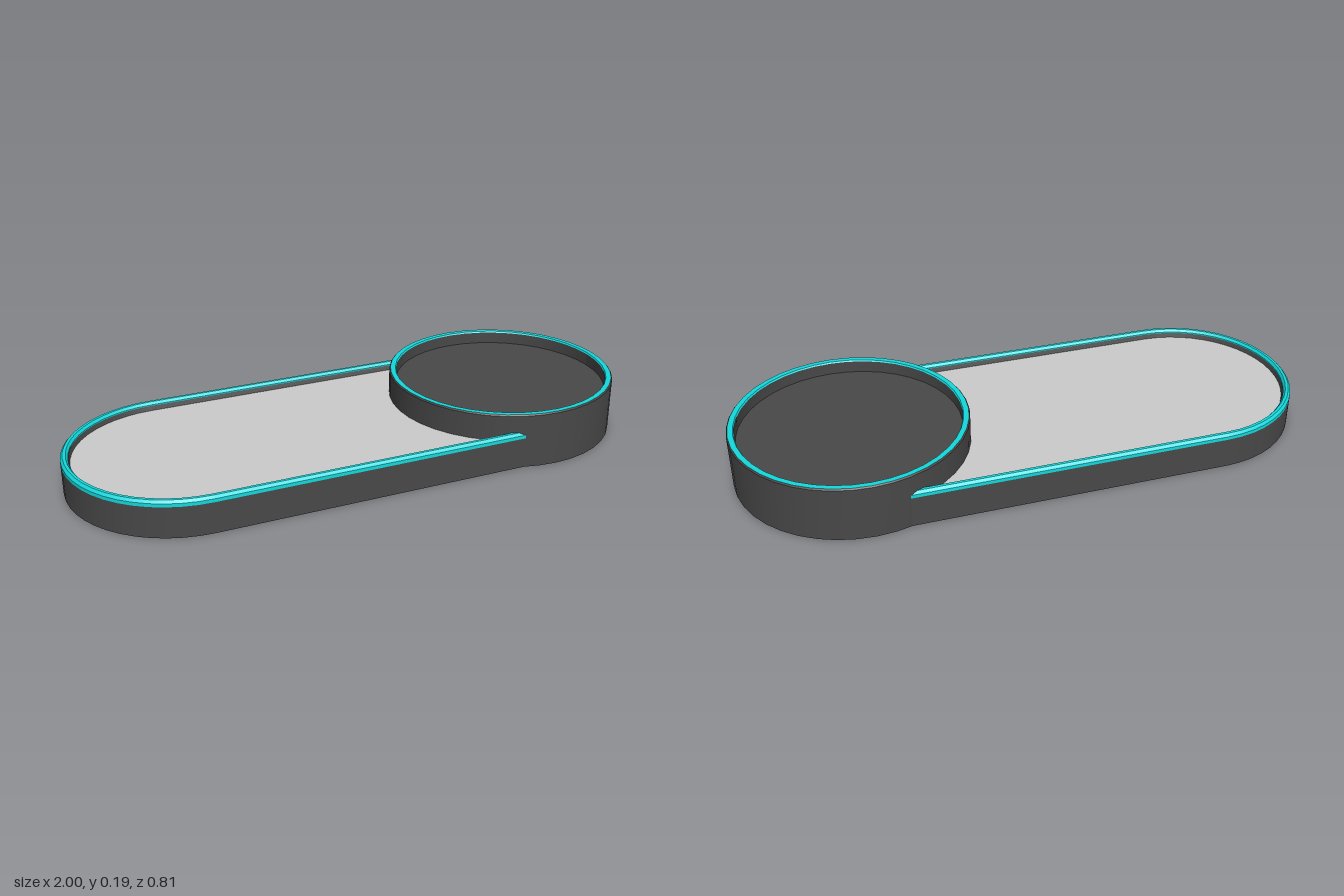
import * as THREE from 'three';

const material = (color) => new THREE.MeshStandardMaterial({ color, side: THREE.DoubleSide });
const dark = material(0x484848);
const teal = material(0x14d8dc);
const grey = material(0xcccccc);

const TRAY = { r: 0.385, left: -0.615, right: 0.595 };
const CUP = { r: 0.403, x: 0.597 };

// Arc of path stations: position plus outward direction
function arc(cx, r, from, to, steps) {
  return Array.from({ length: steps + 1 }, (_, i) => {
    const a = from + ((to - from) * i) / steps;
    const nx = Math.cos(a), nz = Math.sin(a);
    return { x: cx + r * nx, z: r * nz, nx, nz };
  });
}

// Sweep a profile of [inset, height] points along a path; every profile edge stays crisp
function sweep(path, profile) {
  const pos = [], index = [];
  for (let k = 0; k < profile.length - 1; k++) {
    const base = pos.length / 3;
    for (const p of path) {
      for (const [inset, y] of [profile[k], profile[k + 1]]) {
        pos.push(p.x - p.nx * inset, y, p.z - p.nz * inset);
      }
    }
    for (let i = 0; i < path.length - 1; i++) {
      const a = base + i * 2;
      index.push(a, a + 1, a + 2, a + 1, a + 3, a + 2);
    }
  }
  const geo = new THREE.BufferGeometry();
  geo.setAttribute('position', new THREE.Float32BufferAttribute(pos, 3));
  geo.setIndex(index);
  geo.computeVertexNormals();
  return geo;
}

export function createModel() {
  const group = new THREE.Group();
  const add = (name, geometry, mat) => {
    const mesh = new THREE.Mesh(geometry, mat);
    mesh.name = name;
    group.add(mesh);
    return mesh;
  };

  // Long tray: U-shaped wall running in under the round cup
  const uPath = [
    { x: TRAY.right, z: TRAY.r, nx: 0, nz: 1 },
    ...arc(TRAY.left, TRAY.r, Math.PI / 2, Math.PI * 1.5, 24),
    { x: TRAY.right, z: -TRAY.r, nx: 0, nz: -1 },
  ];
  add('trayWall', sweep(uPath, [[0, 0], [0, 0.108]]), dark);
  add('trayRim', sweep(uPath, [
    [0, 0.108], [0, 0.12], [0.008, 0.129], [0.018, 0.129], [0.025, 0.12], [0.025, 0.108], [0, 0.108],
  ]), teal);
  add('trayInnerLip', sweep(uPath, [[0.025, 0.116], [0.03, 0.1]]), dark);

  // Tray floor: a rounded slot shape
  const floorR = TRAY.r - 0.03;
  const slot = new THREE.Shape();
  slot.absarc(TRAY.right, 0, floorR, -Math.PI / 2, Math.PI / 2, false);
  slot.absarc(TRAY.left, 0, floorR, Math.PI / 2, Math.PI * 1.5, false);
  slot.closePath();
  const floor = new THREE.ShapeGeometry(slot, 24).rotateX(-Math.PI / 2);
  add('trayFloor', floor, grey).position.y = 0.1;

  // Round cup: outer wall, thin bright rim, inner wall and floor
  const circle = arc(CUP.x, CUP.r, 0, Math.PI * 2, 40);
  add('cupWall', sweep(circle, [[0, 0], [0, 0.19], [0.004, 0.195]]), dark);
  add('cupRim', sweep(circle, [[0.004, 0.195], [0.022, 0.195], [0.025, 0.19]]), teal);
  add('cupInnerWall', sweep(circle, [[0.025, 0.19], [0.025, 0.148]]), dark);
  const disc = new THREE.CircleGeometry(CUP.r - 0.025, 40).rotateX(-Math.PI / 2);
  add('cupFloor', disc, dark).position.set(CUP.x, 0.148, 0);

  return group;
}
